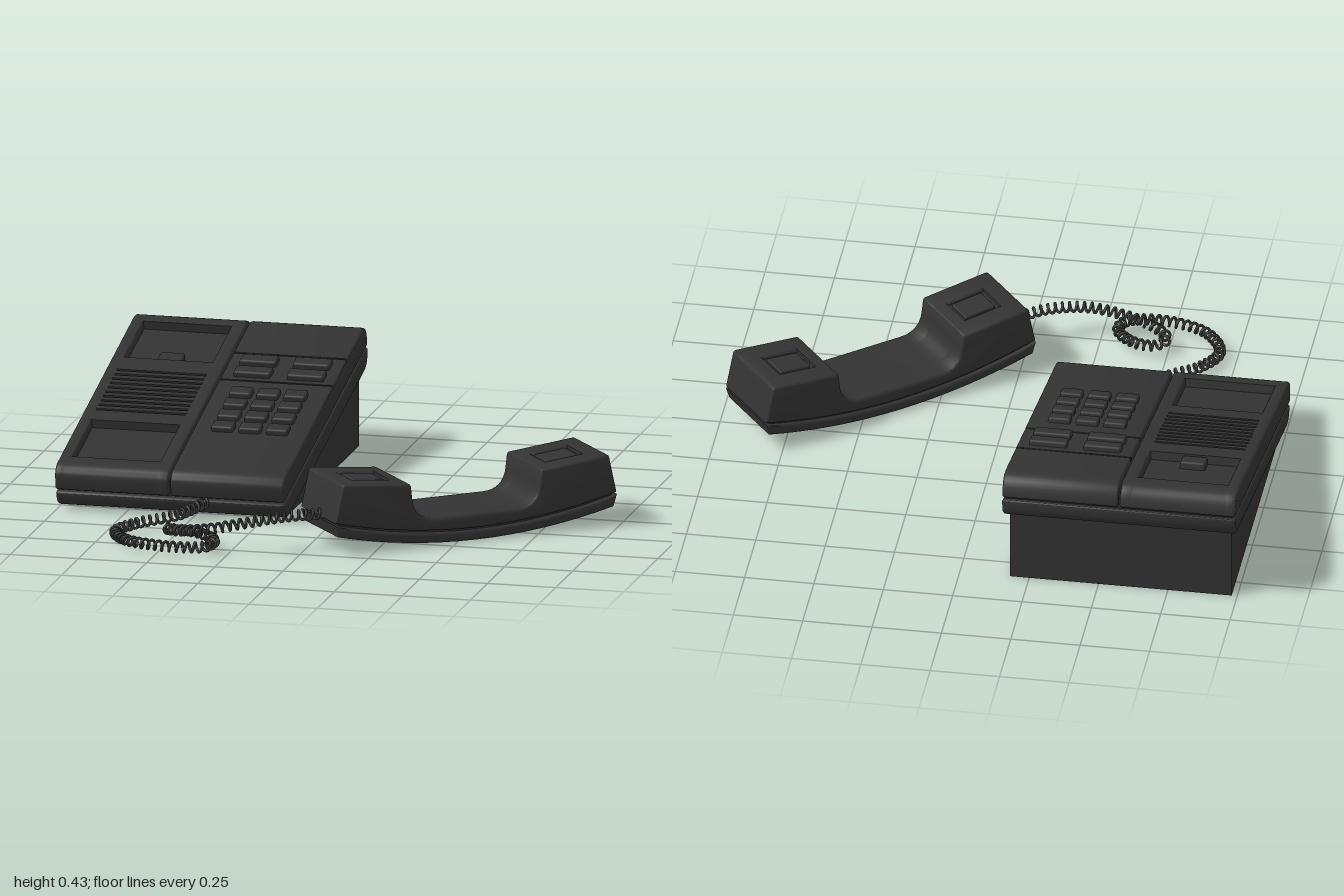
import * as THREE from 'three';
import { toCreasedNormals } from 'three/addons/utils/BufferGeometryUtils.js';
import { RoundedBoxGeometry } from 'three/addons/geometries/RoundedBoxGeometry.js';

const dark = new THREE.MeshStandardMaterial({ color: 0x333333 });

function add(parent, name, geometry, x = 0, y = 0, z = 0) {
  const mesh = new THREE.Mesh(geometry, dark);
  mesh.name = name;
  mesh.position.set(x, y, z);
  parent.add(mesh);
  return mesh;
}

// Closed outline from [x, y, cornerRadius] points
function outline(points) {
  const shape = new THREE.Shape();
  const n = points.length;
  points.forEach(([x, y, r = 0], i) => {
    const p = new THREE.Vector2(x, y);
    const toward = (q) => new THREE.Vector2(q[0], q[1]).sub(p).setLength(r).add(p);
    const a = r ? toward(points[(i + n - 1) % n]) : p;
    if (i === 0) shape.moveTo(a.x, a.y);
    else shape.lineTo(a.x, a.y);
    if (r) {
      const b = toward(points[(i + 1) % n]);
      shape.quadraticCurveTo(x, y, b.x, b.y);
    }
  });
  return shape;
}

// Extrusion along z from a to b, bevel kept inside the outline
function slab(points, a, b, bevel = 0) {
  const g = new THREE.ExtrudeGeometry(outline(points), {
    depth: b - a - 2 * bevel, bevelEnabled: bevel > 0, bevelSize: bevel,
    bevelThickness: bevel, bevelOffset: -bevel, bevelSegments: 3, curveSegments: 8,
  });
  g.translate(0, 0, a + bevel);
  return toCreasedNormals(g, 0.6);
}

// Side profile (z, y) extruded across x
const across = (points, x0, x1, bevel) => slab(points, -x1, -x0, bevel).rotateY(-Math.PI / 2);

const notch = (a, b, depth) => [[a, 0], [a, -depth], [b, -depth], [b, 0]];

function createBase() {
  const base = new THREE.Group();
  base.name = 'telephoneBase';

  // Wedge foot
  add(base, 'wedgeFoot', across([[0.23, 0], [0.25, 0.05], [-0.84, 0.3], [-0.84, 0]], -0.98, -0.18));

  // Sloping housing, local y = 0 is its top surface
  const housing = new THREE.Group();
  housing.name = 'housing';
  housing.position.y = 0.245;
  housing.rotation.x = 0.228;
  base.add(housing);

  const top = (cuts) => [[-0.893, 0, 0.065], ...cuts, [0.365, 0, 0.05], [0.368, -0.088, 0.012], [-0.895, -0.088, 0.012]];

  // Cradle side: plain rails around a strip with two recesses and a grille
  const grille = [];
  for (let i = 0; i < 10; i++) {
    const t = -0.42 + i * 0.0345;
    grille.push(...notch(t, t + 0.012, 0.012));
  }
  const cradle = top([...notch(-0.8, -0.515, 0.032), ...grille, ...notch(-0.02, 0.272, 0.032)]);
  add(housing, 'outerRail', across(top([]), -1, -0.955, 0.008));
  add(housing, 'cradleStrip', across(cradle, -0.968, -0.622));
  add(housing, 'innerRail', across(top([]), -0.635, -0.583, 0.008));
  add(housing, 'hookTab', new RoundedBoxGeometry(0.09, 0.035, 0.07, 2, 0.008), -0.795, -0.022, -0.55);

  // Keypad side with two thin panel joints
  const panel = top([...notch(-0.605, -0.597, 0.01), ...notch(-0.394, -0.386, 0.01)]);
  add(housing, 'keypadPanel', across(panel, -0.577, -0.16, 0.008));

  // Inset core shows in the joints between the shells
  add(housing, 'seamCore', new THREE.BoxGeometry(0.816, 0.09, 1.22), -0.58, -0.08, -0.264);
  add(housing, 'lowerShell', across([
    [-0.895, -0.096, 0.01], [0.368, -0.096, 0.01], [0.36, -0.165, 0.055], [-0.88, -0.165, 0.05],
  ], -1, -0.16, 0.01));

  // Wide buttons and number keys
  const button = new RoundedBoxGeometry(0.135, 0.04, 0.058, 2, 0.008);
  for (const z of [-0.535, -0.445])
    for (const x of [-0.465, -0.27]) add(housing, 'wideButton', button, x, 0, z);
  const key = new RoundedBoxGeometry(0.08, 0.04, 0.058, 2, 0.008);
  for (let row = 0; row < 4; row++)
    for (let col = 0; col < 3; col++)
      add(housing, 'numberKey', key, -0.47 + col * 0.1, 0, -0.282 + row * 0.0895);
  return base;
}

// Points along a sagging line between the two handset ends
function sag(half, endY, midY, dir) {
  const pts = [];
  for (let i = 0; i <= 16; i++) {
    const k = dir * (-1 + i / 8);
    pts.push([k * half, midY + (endY - midY) * k * k]);
  }
  return pts;
}

function createHandset() {
  const handset = new THREE.Group();
  handset.name = 'handset';
  handset.position.set(0.468, 0, 0.29);
  handset.rotation.y = 0.681;

  // Upper shell: two raised ends and a hollow grip, optionally with square recesses
  const topY = (s) => 0.2085 + Math.abs(s) * 0.1;
  const cut = (a, b) => [[a, topY(a)], [a, topY(a) - 0.012], [b, topY(b) - 0.012], [b, topY(b)]];
  const upper = (recessed) => [
    [-0.522, topY(0.522), 0.012], ...(recessed ? cut(-0.455, -0.305) : []), [-0.255, topY(0.255), 0.012],
    [-0.24, 0.1, 0.08], [0.24, 0.1, 0.08],
    [0.255, topY(0.255), 0.012], ...(recessed ? cut(0.305, 0.455) : []), [0.522, topY(0.522), 0.012],
    ...sag(0.553, 0.12, 0.048, -1),
  ];
  add(handset, 'nearCheek', slab(upper(false), 0.062, 0.148, 0.01));
  add(handset, 'farCheek', slab(upper(false), -0.148, -0.062, 0.01));
  add(handset, 'upperShell', slab(upper(true), -0.075, 0.075));

  // Ear and mouth pads inside the recesses
  for (const side of [-1, 1]) {
    const pad = add(handset, side < 0 ? 'mouthPad' : 'earPad',
      new RoundedBoxGeometry(0.122, 0.02, 0.102, 2, 0.005), side * 0.38, topY(0.38) - 0.012, 0);
    pad.rotation.z = side * 0.1;
  }

  // Lower shell with a narrow joint above it
  add(handset, 'lowerShell', slab([...sag(0.554, 0.113, 0.041, 1), ...sag(0.54, 0.068, 0.003, -1)], -0.149, 0.149, 0.009));
  add(handset, 'seamCore', slab([...sag(0.535, 0.135, 0.06, 1), ...sag(0.535, 0.095, 0.025, -1)], -0.135, 0.135));
  return handset;
}

// Helix wound around a path
class CoilCurve extends THREE.Curve {
  constructor(path, turns, radius) {
    super();
    Object.assign(this, { path, turns, radius, arcLengthDivisions: 4000 });
  }
  getPoint(t, target = new THREE.Vector3()) {
    const tangent = this.path.getTangentAt(t);
    const side = new THREE.Vector3().crossVectors(tangent, new THREE.Vector3(0, 1, 0)).normalize();
    const up = new THREE.Vector3().crossVectors(side, tangent);
    const a = t * this.turns * Math.PI * 2;
    return target.copy(this.path.getPointAt(t))
      .addScaledVector(side, Math.cos(a) * this.radius)
      .addScaledVector(up, Math.sin(a) * this.radius);
  }
}

function createCord() {
  const path = new THREE.CatmullRomCurve3([
    [-0.45, 0.06, 0.32], [-0.52, 0.045, 0.47], [-0.64, 0.035, 0.58], [-0.69, 0.03, 0.69],
    [-0.62, 0.03, 0.81], [-0.45, 0.03, 0.865], [-0.33, 0.03, 0.84], [-0.31, 0.035, 0.77],
    [-0.38, 0.04, 0.69], [-0.46, 0.045, 0.675], [-0.495, 0.055, 0.71], [-0.44, 0.065, 0.765],
    [-0.32, 0.085, 0.795], [-0.2, 0.11, 0.785], [-0.06, 0.128, 0.72], [0.06, 0.125, 0.63],
  ].map((p) => new THREE.Vector3(...p)));
  const turns = Math.round(path.getLength() / 0.027);
  return new THREE.TubeGeometry(new CoilCurve(path, turns, 0.017), turns * 12, 0.0055, 6);
}

export function createModel() {
  const model = new THREE.Group();
  model.name = 'deskTelephone';
  model.add(createBase(), createHandset());
  add(model, 'coiledCord', createCord());
  return model;
}
